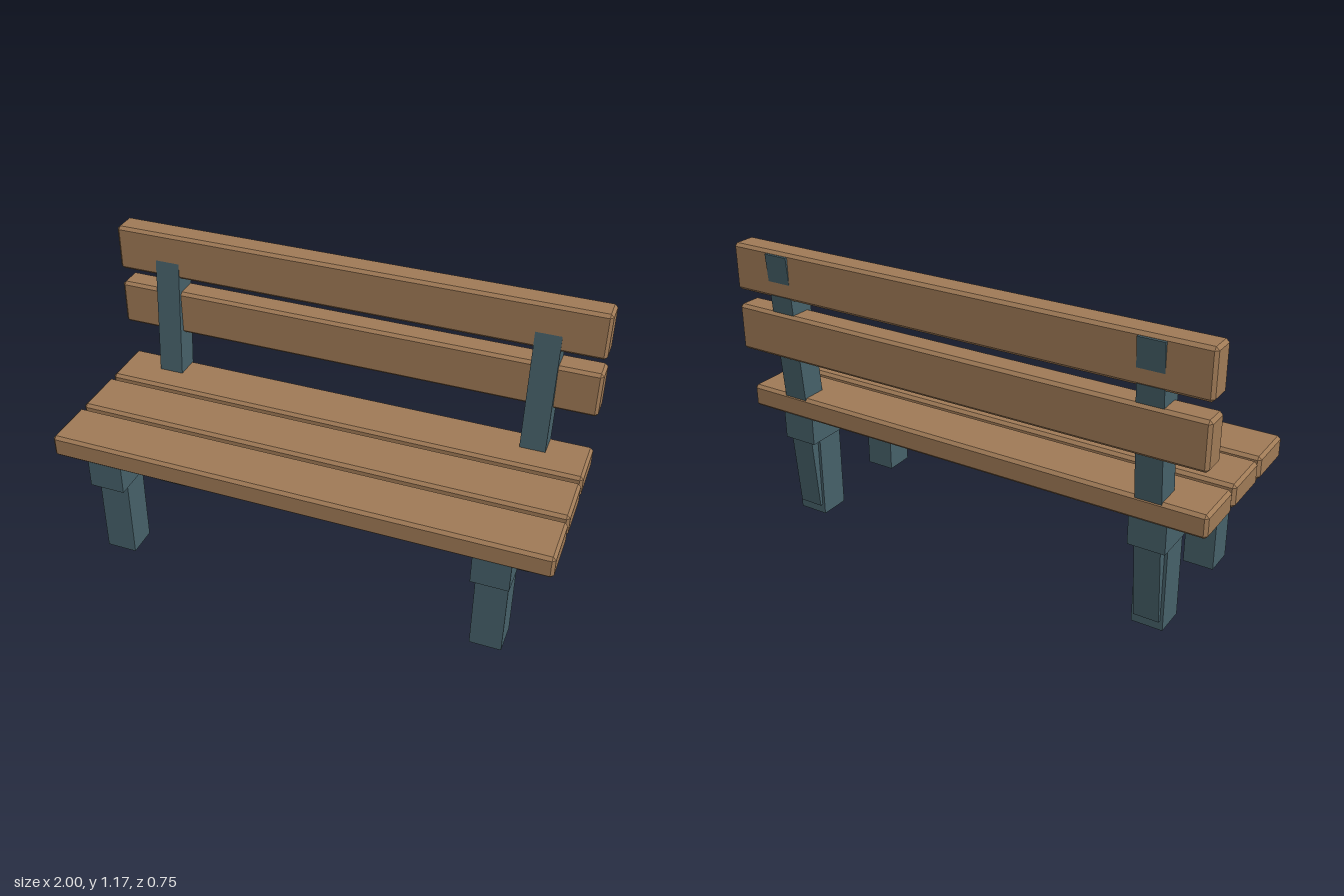
import * as THREE from 'three';
import { ConvexGeometry } from 'three/addons/geometries/ConvexGeometry.js';

// Box with every edge cut by a flat chamfer
function chamferedBox(w, h, d, c) {
  const points = [];
  for (const sx of [-1, 1]) for (const sy of [-1, 1]) for (const sz of [-1, 1]) {
    const [x, y, z] = [w / 2, h / 2, d / 2];
    points.push(
      new THREE.Vector3(sx * x, sy * (y - c), sz * (z - c)),
      new THREE.Vector3(sx * (x - c), sy * y, sz * (z - c)),
      new THREE.Vector3(sx * (x - c), sy * (y - c), sz * z));
  }
  return new ConvexGeometry(points);
}

export function createModel() {
  const bench = new THREE.Group();
  bench.name = 'bench';
  const wood = new THREE.MeshStandardMaterial({ color: 0x9f7a56, flatShading: true });
  const frame = new THREE.MeshStandardMaterial({ color: 0x466069, flatShading: true });

  function add(parent, name, geometry, material, x, y, z) {
    const mesh = new THREE.Mesh(geometry, material);
    mesh.name = name;
    mesh.position.set(x, y, z);
    parent.add(mesh);
    return mesh;
  }

  // Three seat planks
  const seatPlank = chamferedBox(2, 0.093, 0.22, 0.012);
  [0.266, 0.025, -0.218].forEach((z, i) =>
    add(bench, `seatPlank${i + 1}`, seatPlank, wood, 0, 0.507, z));

  // Two backrest planks
  const backPlank = chamferedBox(2, 0.189, 0.104, 0.012);
  [0.824, 1.075].forEach((y, i) =>
    add(bench, `backPlank${i + 1}`, backPlank, wood, 0, y, -0.314));

  // A mirrored pair of end frames: legs, seat rail and leaning back post
  const leg = new THREE.BoxGeometry(0.125, 0.36, 0.125);
  const rail = new THREE.BoxGeometry(0.145, 0.126, 0.688);
  const post = new THREE.BoxGeometry(0.102, 1.12, 0.104);
  for (const [side, name] of [[1, 'left'], [-1, 'right']]) {
    const end = new THREE.Group();
    end.name = `${name}Frame`;
    end.position.x = side * 0.78;
    add(end, `${name}FrontLeg`, leg, frame, 0, 0.18, 0.257);
    add(end, `${name}BackLeg`, leg, frame, 0, 0.18, -0.208);
    add(end, `${name}SeatRail`, rail, frame, 0, 0.413, 0.025);
    add(end, `${name}BackPost`, post, frame, 0, 0.602, -0.277).rotation.x = -0.083;
    bench.add(end);
  }
  return bench;
}
